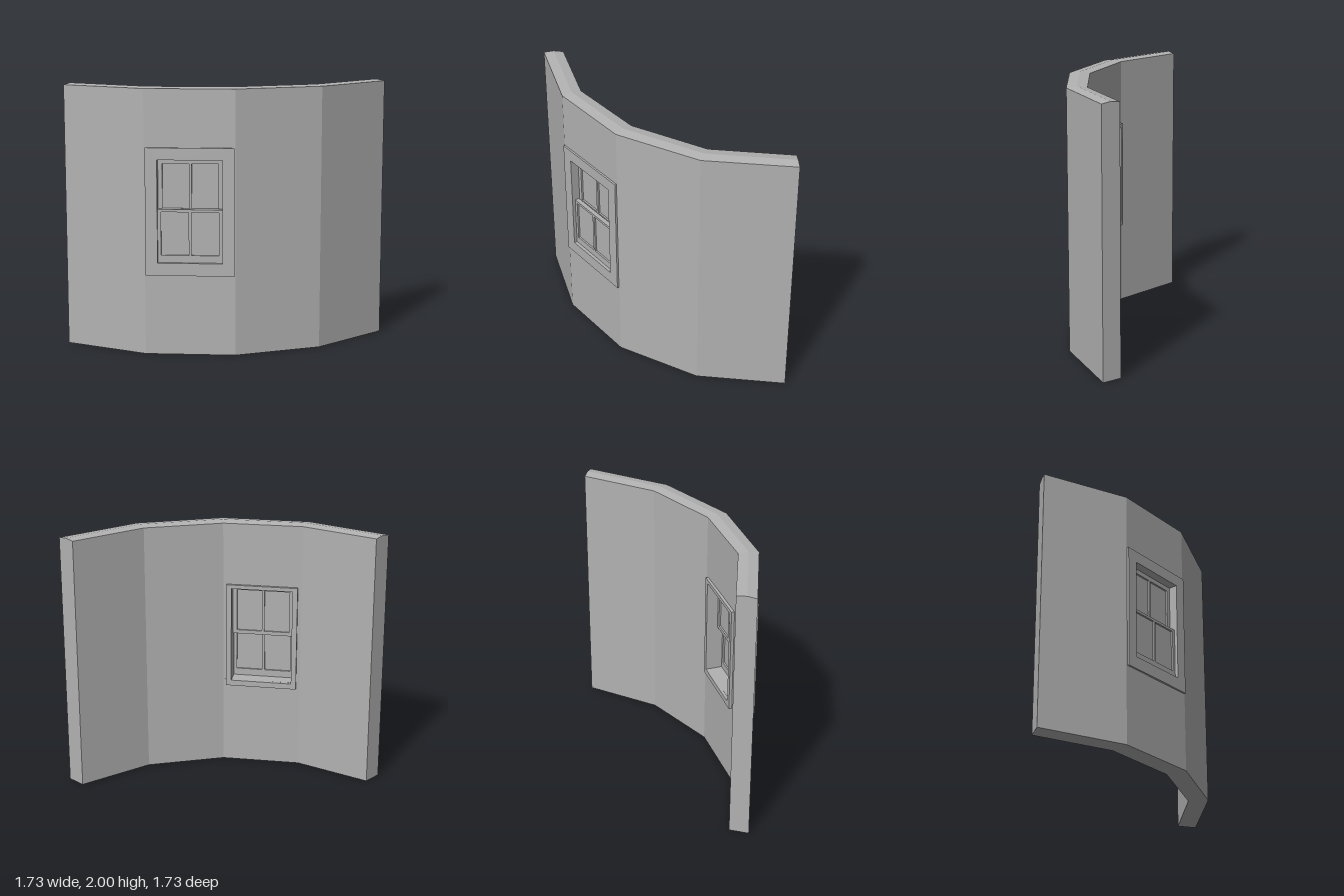
import * as THREE from 'three';

// Plan corners of the wall as [x, z], outer and inner face
const OUTER = [[-0.867, 0.867], [-0.2, 0.735], [0.36, 0.365], [0.735, -0.2], [0.867, -0.867]];
const INNER = [[-0.867, 0.717], [-0.26, 0.595], [0.25, 0.25], [0.595, -0.263], [0.717, -0.867]];
const RIDGE = 0.01; // the wall top rises slightly along its middle
const OPEN = { u: 0.24, y0: 0.7, y1: 1.47 };

export function createModel() {
  const plaster = new THREE.MeshStandardMaterial({ color: 0xb2b2b2 });
  plaster.name = 'grey plaster';
  const model = new THREE.Group();
  model.name = 'curvedWallWithWindow';

  const add = (parent, name, geometry) => {
    const mesh = new THREE.Mesh(geometry, plaster);
    mesh.name = name;
    parent.add(mesh);
    return mesh;
  };

  // Length of wall between two plan sections {o, i} from y0 to y1
  const wallPiece = (name, a, b, y0, y1, { ridge = 0, capA = false, capB = false, top = true, bottom = true } = {}) => {
    const section = ({ o, i }) => [
      [o[0], y0, o[1]],
      [o[0], y1 - ridge, o[1]],
      [(o[0] + i[0]) / 2, y1, (o[1] + i[1]) / 2],
      [i[0], y1 - ridge, i[1]],
      [i[0], y0, i[1]],
    ];
    const A = section(a), B = section(b), pos = [];
    const tri = (...pts) => pts.forEach((p) => pos.push(...p));
    for (let k = 0; k < 5; k++) {
      if ((!top && (k === 1 || k === 2)) || (!bottom && k === 4)) continue;
      const n = (k + 1) % 5;
      tri(A[k], B[k], B[n]);
      tri(A[k], B[n], A[n]);
    }
    for (let k = 1; k < 4; k++) {
      if (capA) tri(A[0], A[k], A[k + 1]);
      if (capB) tri(B[0], B[k + 1], B[k]);
    }
    const g = new THREE.BufferGeometry();
    g.setAttribute('position', new THREE.Float32BufferAttribute(pos, 3));
    g.computeVertexNormals();
    add(model, name, g);
  };

  // Plain wall panels
  const corner = (k) => ({ o: OUTER[k], i: INNER[k] });
  for (const k of [0, 2, 3]) {
    wallPiece('wallPanel' + (k + 1), corner(k), corner(k + 1), 0, 2, { ridge: RIDGE, capA: k === 0, capB: k === 3 });
  }

  // Window panel: pieces below, above and beside the opening
  const angle = Math.atan2(0.37, 0.56);
  const c = Math.cos(angle), s = Math.sin(angle);
  const at = (u, d) => [0.08 + u * c - d * s, 0.55 - u * s - d * c];
  const depth = 0.153;
  const jamb = (u) => ({ o: at(u, 0), i: at(u, depth) });
  wallPiece('wallBelowWindow', corner(1), corner(2), 0, OPEN.y0);
  wallPiece('wallAboveWindow', corner(1), corner(2), OPEN.y1, 2, { ridge: RIDGE });
  wallPiece('wallRightOfWindow', corner(1), jamb(-OPEN.u), OPEN.y0, OPEN.y1, { capB: true, top: false, bottom: false });
  wallPiece('wallLeftOfWindow', jamb(OPEN.u), corner(2), OPEN.y0, OPEN.y1, { capA: true, top: false, bottom: false });

  // Window, built facing +z and turned onto the panel
  const windowGroup = new THREE.Group();
  windowGroup.name = 'window';
  windowGroup.position.set(0.08, 0, 0.55);
  windowGroup.rotation.y = angle;
  model.add(windowGroup);

  const rectangle = (T, x0, x1, y0, y1) => {
    const r = new T();
    r.moveTo(x0, y0);
    r.lineTo(x1, y0);
    r.lineTo(x1, y1);
    r.lineTo(x0, y1);
    r.closePath();
    return r;
  };
  // Flat frame with rectangular holes, from z0 to z1
  const frame = (name, [w, y0, y1], holes, z0, z1) => {
    const shape = rectangle(THREE.Shape, -w, w, y0, y1);
    shape.holes = holes.map((h) => rectangle(THREE.Path, ...h));
    const g = new THREE.ExtrudeGeometry(shape, { depth: z1 - z0, bevelEnabled: false });
    add(windowGroup, name, g.translate(0, 0, z0));
  };

  const opening = [-OPEN.u, OPEN.u, OPEN.y0, OPEN.y1];
  frame('outerTrim', [0.329, 0.605, 1.56], [opening], 0, 0.015);
  frame('innerTrim', [0.28, 0.655, 1.5], [opening], -0.176, -depth);

  // Two sashes, each with two panes; the upper one sits deeper
  const sash = (name, y0, y1, paneY0, paneY1, paneU, z) => {
    const panes = [-1, 1].map((m) => [Math.min(m * 0.01, m * paneU), Math.max(m * 0.01, m * paneU), paneY0, paneY1]);
    frame(name, [OPEN.u, y0, y1], panes, z - 0.035, z);
    const glass = new THREE.BoxGeometry(paneU * 2, paneY1 - paneY0, 0.008);
    add(windowGroup, name + 'Glass', glass).position.set(0, (paneY0 + paneY1) / 2, z - 0.018);
  };
  sash('lowerSash', OPEN.y0, 1.1, 0.755, 1.08, 0.215, -0.01);
  sash('upperSash', 1.07, OPEN.y1, 1.1, 1.435, 0.208, -0.052);

  return model;
}
